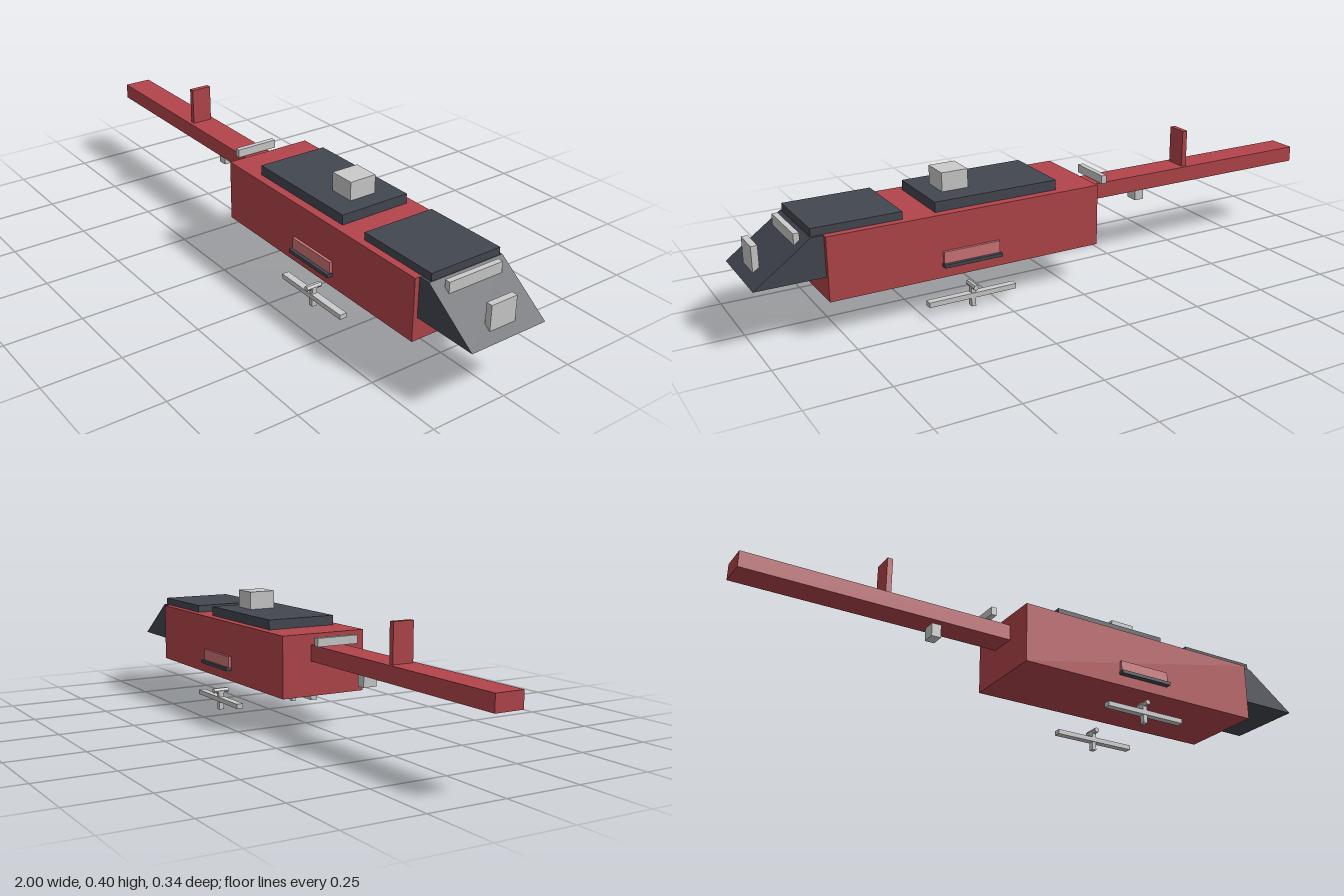
import * as THREE from 'three';

const mat = (name, color) => {
  const m = new THREE.MeshStandardMaterial({ color });
  m.name = name;
  return m;
};

export function createModel() {
  const red = mat('red', 0xb2454b);
  const pink = mat('pink', 0xcf7478);
  const dark = mat('charcoal', 0x434750);
  const grey = mat('light grey', 0xcbcbcb);
  const model = new THREE.Group();

  const add = (name, geometry, material, parent = model) => {
    const mesh = new THREE.Mesh(geometry, material);
    mesh.name = name;
    parent.add(mesh);
    return mesh;
  };
  // Box given by its extents along each axis
  const box = (name, material, [x0, x1], [y0, y1], [z0, z1], parent) => {
    const g = new THREE.BoxGeometry(x1 - x0, y1 - y0, z1 - z0);
    g.translate((x0 + x1) / 2, (y0 + y1) / 2, (z0 + z1) / 2);
    return add(name, g, material, parent);
  };
  const mid = (half) => [-half, half];

  // Fuselage and tail
  box('body', red, [-0.11, 0.788], [0.113, 0.312], mid(0.148));
  box('tailBoom', red, [-1, -0.11], [0.225, 0.277], mid(0.047));
  box('tailFin', red, [-0.541, -0.523], [0.277, 0.4], mid(0.035));
  box('tailCrossbar', grey, [-0.193, -0.175], [0.283, 0.31], mid(0.072));
  box('tailBlock', grey, [-0.375, -0.343], [0.182, 0.225], mid(0.023));

  // Roof panels and hub
  box('rearRoof', dark, [0.027, 0.44], [0.312, 0.344], mid(0.12));
  box('frontRoof', dark, [0.545, 0.824], [0.312, 0.336], mid(0.124));
  box('roofHub', grey, [0.294, 0.381], [0.344, 0.404], mid(0.046));

  // Sloping nose
  const profile = new THREE.Shape([
    [0.788, 0.185], [1, 0.185], [0.826, 0.312], [0.788, 0.312],
  ].map(([x, y]) => new THREE.Vector2(x, y)));
  const noseGeo = new THREE.ExtrudeGeometry(profile, { depth: 0.266, bevelEnabled: false });
  noseGeo.translate(0, 0, -0.133);
  add('nose', noseGeo, dark);
  box('noseBar', grey, [0.846, 0.864], [0.279, 0.319], mid(0.096));
  box('noseBlock', grey, [0.952, 0.972], [0.202, 0.285], mid(0.046));

  // Side panels, steps and undercarriage, repeated on both sides
  for (const s of [1, -1]) {
    const side = new THREE.Group();
    side.name = s > 0 ? 'frontSide' : 'backSide';
    model.add(side);
    const span = (a, b) => (s > 0 ? [a, b] : [-b, -a]);
    box('sidePanel', pink, [0.245, 0.431], [0.158, 0.197], span(0.148, 0.157), side);
    box('sideStep', dark, [0.242, 0.434], [0.149, 0.16], span(0.148, 0.168), side);
    box('skidBar', grey, [0.19, 0.484], [0.028, 0.044], span(0.132, 0.156), side);
    box('skidPost', grey, [0.328, 0.343], [0, 0.066], span(0.135, 0.153), side);
    const rod = new THREE.CylinderGeometry(0.009, 0.009, 0.054, 6, 1, false, Math.PI / 2).toNonIndexed();
    rod.computeVertexNormals();
    rod.rotateX(Math.PI / 2);
    add('skidCrossRod', rod, grey, side).position.set(0.3355, 0.066, s * 0.144);
  }
  return model;
}
